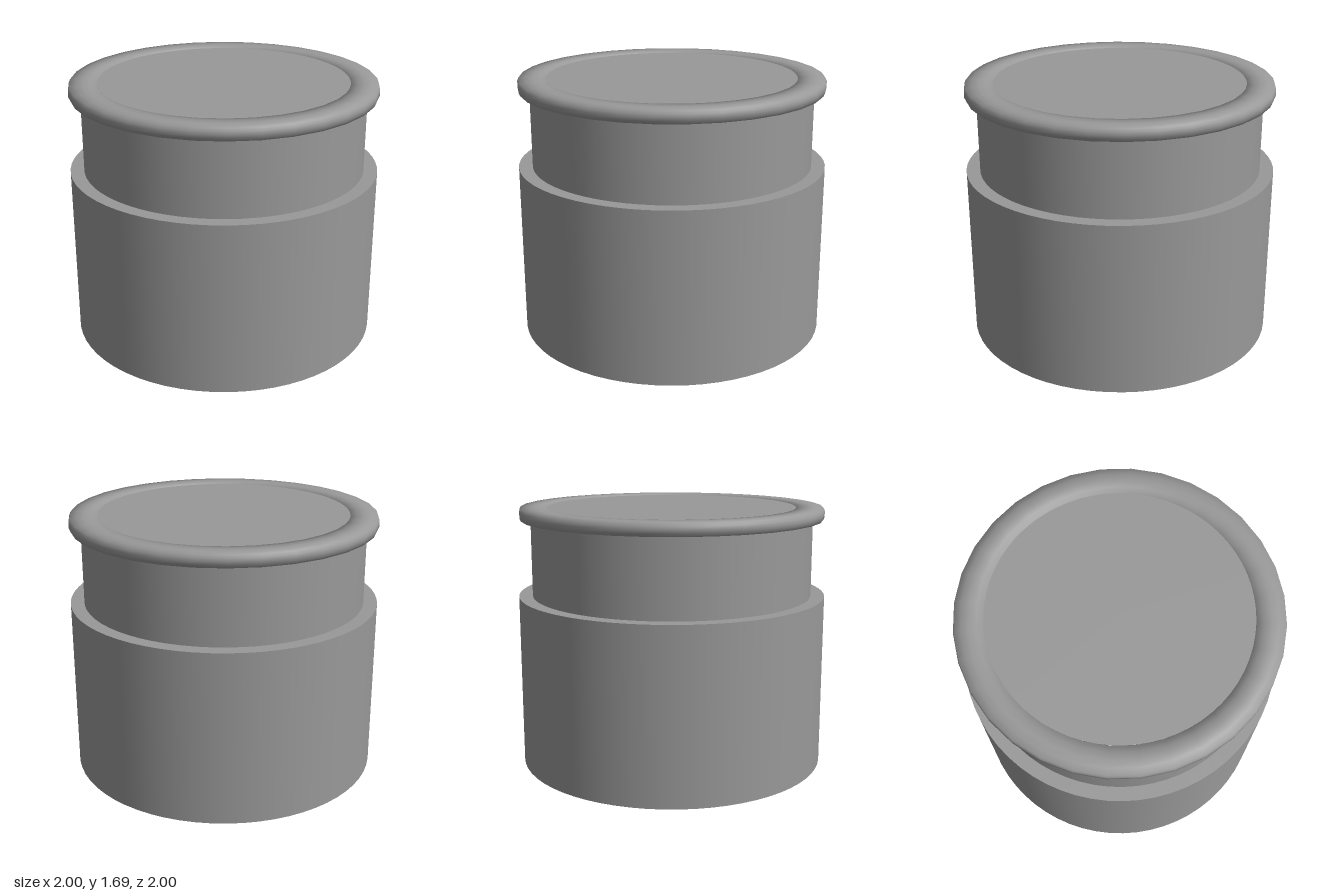
import * as THREE from 'three';

const SIDES = 64;

// Ring with a nearly rectangular section that keeps the soft normals of a torus
function boxedRing(radius, halfWidth, halfHeight, sides) {
  const geometry = new THREE.TorusGeometry(1, 0.1, 16, sides).rotateX(-Math.PI / 2);
  const square = (v) => THREE.MathUtils.clamp(v * 1.3, -1, 1);
  const p = geometry.attributes.position;
  for (let i = 0; i < p.count; i++) {
    const x = p.getX(i), z = p.getZ(i), r = Math.hypot(x, z);
    const scale = (radius + halfWidth * square((r - 1) / 0.1)) / r;
    p.setXYZ(i, x * scale, halfHeight * square(p.getY(i) / 0.1), z * scale);
  }
  return geometry;
}

export function createModel() {
  const group = new THREE.Group();
  const material = new THREE.MeshStandardMaterial({ color: 0x999999, side: THREE.DoubleSide });

  const add = (name, geometry, y) => {
    const mesh = new THREE.Mesh(geometry, material);
    mesh.name = name;
    mesh.position.y = y;
    group.add(mesh);
  };
  const wall = (radius, height) =>
    new THREE.CylinderGeometry(radius, radius, height, SIDES, 1, true);
  const flat = (geometry) => geometry.rotateX(-Math.PI / 2);

  // Wide hollow body, open underneath, with a flat shoulder
  add('body', wall(1, 1.115), 0.5575);
  add('shoulder', flat(new THREE.RingGeometry(0.91, 1, SIDES, 1)), 1.115);

  // Narrower neck
  add('neck', wall(0.912, 0.5), 1.365);

  // Softly shaded rim overhanging the neck
  add('rim', boxedRing(0.8925, 0.0925, 0.0415, 32), 1.6465);

  // Flat lid set just inside the rim
  add('lid', flat(new THREE.CircleGeometry(0.803, SIDES)), 1.682);

  return group;
}
